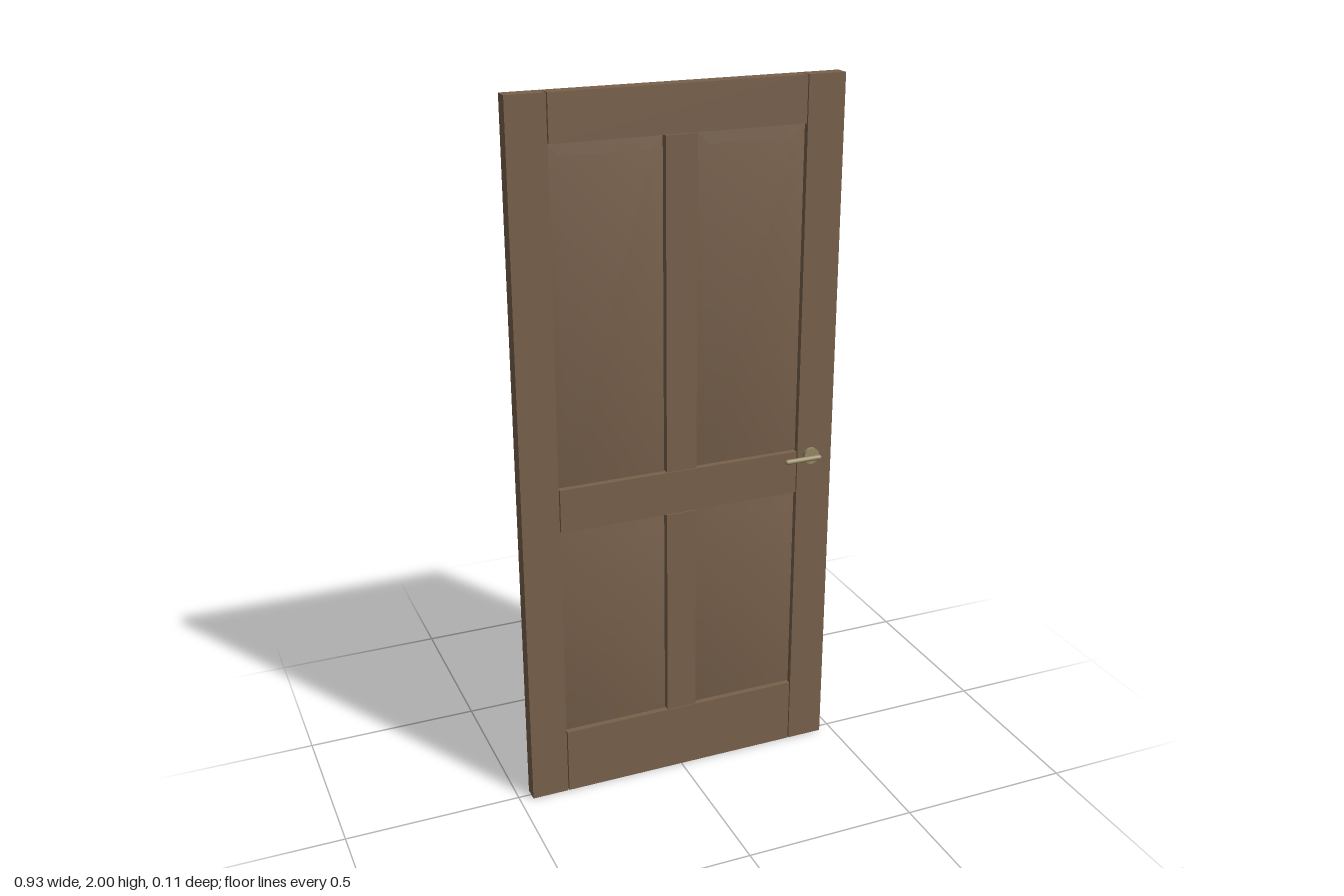
import * as THREE from 'three';

export function createModel() {
  const wood = new THREE.MeshStandardMaterial({ name: 'brown wood', color: 0x79614c });
  const brass = new THREE.MeshStandardMaterial({ name: 'aged brass', color: 0x978a66 });
  const door = new THREE.Group();
  door.name = 'panelDoor';

  const add = (name, geometry, material, x = 0, y = 0, z = 0) => {
    const mesh = new THREE.Mesh(geometry, material);
    mesh.name = name;
    mesh.position.set(x, y, z);
    door.add(mesh);
    return mesh;
  };

  const HALF = 0.0215;  // half the door thickness
  const GAP = 0.002;    // fine joint around each board
  const board = (name, x0, x1, y0, y1) =>
    add(name, new THREE.BoxGeometry(x1 - x0, y1 - y0, HALF * 2), wood, (x0 + x1) / 2, (y0 + y1) / 2);

  // Raised panel: two bevelled faces joined by a thin edge, with softly shaded faces
  function raisedPanel(w, h) {
    const rings = [[0.031, -0.015], [0, -0.008], [0, 0.008], [0.031, 0.015]];
    const corners = [[-1, -1], [1, -1], [1, 1], [-1, 1]];
    const pos = [], nor = [], idx = [];
    const n = new THREE.Vector3();
    rings.forEach(([inset, z], r) => {
      corners.forEach(([sx, sy], i) => {
        pos.push(sx * (w / 2 - inset), sy * (h / 2 - inset), z);
        n.set(sx * 0.14, sy * 0.1, Math.sign(z)).normalize();
        nor.push(n.x, n.y, n.z);
        if (r < 3) {
          const a = r * 4 + i, b = r * 4 + (i + 1) % 4;
          idx.push(a, b, b + 4, a, b + 4, a + 4);
        }
      });
    });
    idx.push(0, 2, 1, 0, 3, 2, 12, 13, 14, 12, 14, 15);
    const g = new THREE.BufferGeometry();
    g.setAttribute('position', new THREE.Float32BufferAttribute(pos, 3));
    g.setAttribute('normal', new THREE.Float32BufferAttribute(nor, 3));
    g.setIndex(idx);
    return g;
  }

  // Frame: upright stiles and cross rails
  const inner = 0.355, outer = 0.4625, mid = 0.046;
  board('rightStile', -outer, -inner - GAP / 2, 0, 2);
  board('leftStile', inner + GAP / 2, outer, 0, 2);
  const railEnd = inner - GAP;
  board('topRail', -railEnd, railEnd, 1.875, 2);
  board('lockRail', -railEnd, railEnd, 0.825, 0.95);
  board('bottomRail', -railEnd, railEnd, 0, 0.195);

  // Centre mullions and the four panels
  for (const [level, y0, y1] of [['lower', 0.195, 0.825], ['upper', 0.95, 1.875]]) {
    board(level + 'Mullion', -mid + GAP, mid - GAP, y0 + GAP, y1 - GAP);
    for (const s of [-1, 1]) {
      add(level + (s > 0 ? 'LeftPanel' : 'RightPanel'),
        raisedPanel(inner - mid - GAP, y1 - y0 - GAP * 2), wood,
        s * (inner + mid) / 2, (y0 + y1) / 2);
    }
  }

  // Lever handles with round roses on both faces
  for (const s of [-1, 1]) {
    const side = s > 0 ? 'front' : 'back';
    add(side + 'Rose', new THREE.CylinderGeometry(0.0235, 0.0235, 0.01, 32), brass, 0.397, 0.933, s * 0.0265)
      .rotation.x = Math.PI / 2;
    add(side + 'Lever', new THREE.CapsuleGeometry(0.0073, 0.099, 6, 16), brass, 0.3625, 0.933, s * 0.0463)
      .rotation.z = Math.PI / 2;
  }
  return door;
}
